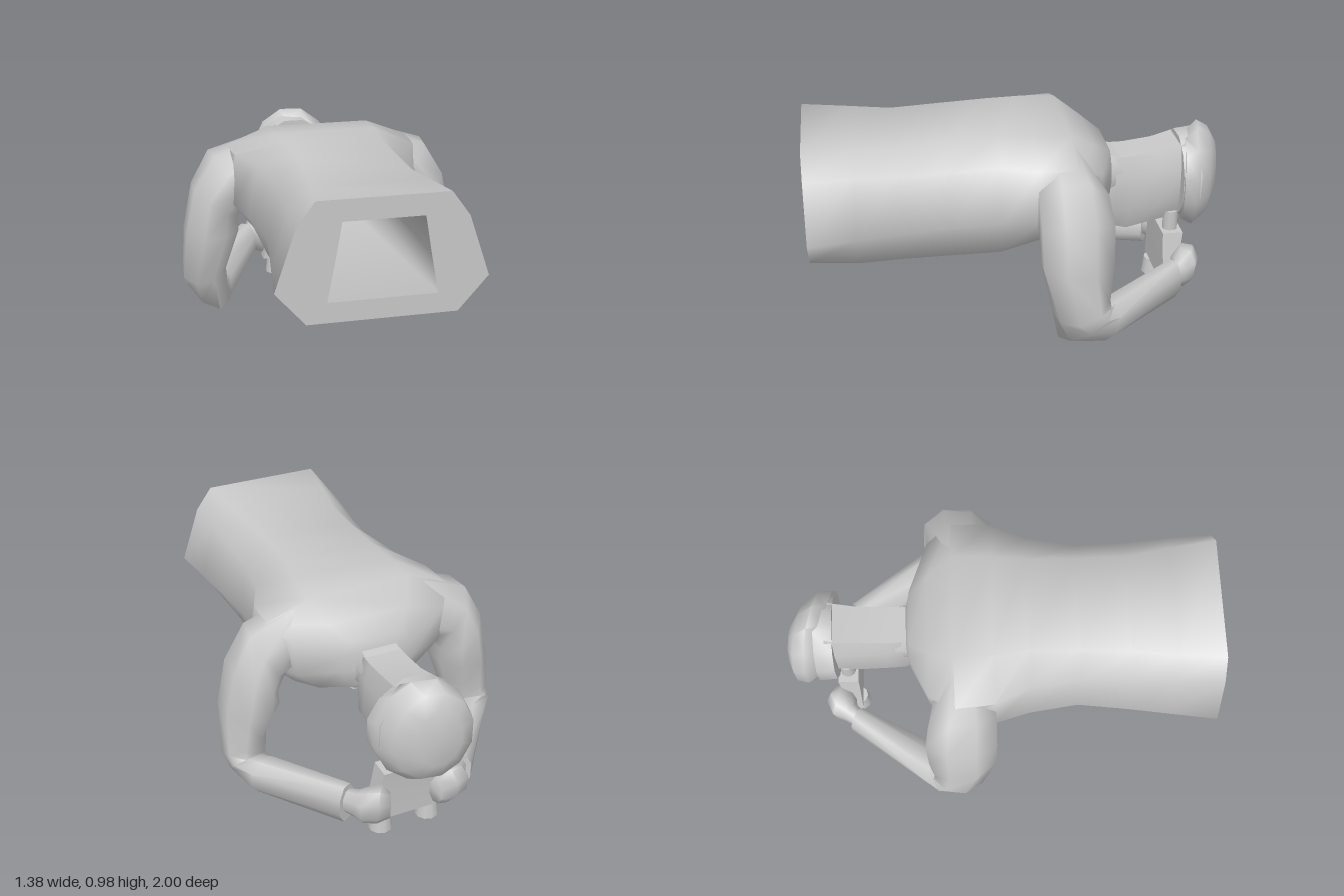
import * as THREE from 'three';
import { toCreasedNormals } from 'three/addons/utils/BufferGeometryUtils.js';

const grey = new THREE.MeshStandardMaterial({ color: 0xc8c8c8 });
grey.name = 'grey clay';

// Skin between equal-sized rings of [x, y, z]; faces outward, or inward if asked
function loft(name, rings, { caps = [true, true], inward = false, crease = 0.8 } = {}) {
  const n = rings[0].length, pos = rings.flat(2), idx = [];
  rings.slice(1).forEach((_, r) => {
    for (let i = 0; i < n; i++) {
      const a = r * n + i, b = r * n + (i + 1) % n;
      idx.push(a, b, a + n, b, b + n, a + n);
    }
  });
  [0, rings.length - 1].forEach((r, k) => {
    if (!caps[k]) return;
    const c = pos.length / 3;
    for (let d = 0; d < 3; d++) pos.push(rings[r].reduce((s, p) => s + p[d], 0) / n);
    for (let i = 0; i < n; i++) {
      const a = r * n + i, b = r * n + (i + 1) % n;
      idx.push(c, ...(k ? [a, b] : [b, a]));
    }
  });
  // Signed volume decides the winding
  const at = (i) => new THREE.Vector3().fromArray(pos, i * 3);
  const o = at(0);
  let volume = 0;
  for (let i = 0; i < idx.length; i += 3) {
    const [a, b, c] = [0, 1, 2].map((k) => at(idx[i + k]).sub(o));
    volume += a.dot(b.cross(c));
  }
  if ((volume < 0) !== inward) idx.reverse();
  const g = new THREE.BufferGeometry();
  g.setAttribute('position', new THREE.Float32BufferAttribute(pos, 3));
  g.setIndex(idx);
  const mesh = new THREE.Mesh(toCreasedNormals(g, crease), grey);
  mesh.name = name;
  return mesh;
}

// Elliptical ring from a centre and two half axes
function ellipse([c, u, v], n = 8) {
  return Array.from({ length: n }, (_, i) => {
    const t = ((i + 0.5) / n) * Math.PI * 2;
    return c.map((q, d) => q + (u[d] * Math.cos(t) + v[d] * Math.sin(t)) * 1.05);
  });
}

// Symmetric ring at depth z from its right half, listed top to bottom
function mirrored(z, half) {
  const full = [...half, ...half.slice().reverse().map(([x, y]) => [-x, y])];
  return full.map(([x, y]) => [x, y, z]);
}

const flip = (rings) => rings.map((r) => r.map(([x, y, z]) => [-x, y, z]));

export function createModel() {
  const model = new THREE.Group();
  model.name = 'proneObserver';

  // Torso from the cut waist to the collar, which turns in to meet the neck
  const waist = [[0.285, 0.98], [0.365, 0.87], [0.457, 0.6], [0.325, 0.45], [0.12, 0.45]];
  const torso = [
    mirrored(1, waist),
    mirrored(0.78, [[0.26, 0.967], [0.355, 0.87], [0.425, 0.6], [0.31, 0.42], [0.14, 0.367]]),
    mirrored(0.58, [[0.23, 0.957], [0.34, 0.86], [0.395, 0.6], [0.3, 0.42], [0.16, 0.362]]),
    mirrored(0.35, [[0.22, 0.972], [0.335, 0.86], [0.367, 0.6], [0.3, 0.42], [0.17, 0.358]]),
    mirrored(0.12, [[0.22, 0.982], [0.37, 0.885], [0.405, 0.62], [0.32, 0.43], [0.18, 0.352]]),
    mirrored(-0.04, [[0.24, 0.977], [0.44, 0.885], [0.455, 0.64], [0.33, 0.48], [0.18, 0.43]]),
    mirrored(-0.22, [[0.25, 0.967], [0.46, 0.885], [0.45, 0.66], [0.32, 0.54], [0.18, 0.5]]),
    mirrored(-0.34, [[0.19, 0.885], [0.38, 0.83], [0.36, 0.66], [0.25, 0.56], [0.14, 0.54]]),
    mirrored(-0.43, [[0.12, 0.825], [0.17, 0.76], [0.18, 0.68], [0.14, 0.59], [0.09, 0.57]]),
    mirrored(-0.445, [[0.08, 0.775], [0.11, 0.73], [0.112, 0.68], [0.1, 0.6], [0.07, 0.58]]),
  ];
  model.add(loft('torso', torso, { caps: [false, false], crease: 1.15 }));

  // Flat waist face with its opening, and the tunnel behind it
  const opening = [[0.175, 0.885], [0.205, 0.71], [0.237, 0.54]];
  const outline = (half) => mirrored(0, half).map(([x, y]) => new THREE.Vector2(x, y));
  const face = new THREE.Shape(outline(waist));
  face.holes.push(new THREE.Path(outline(opening)));
  const waistFace = new THREE.Mesh(new THREE.ShapeGeometry(face), grey);
  waistFace.position.z = 1;
  waistFace.name = 'waistFace';
  model.add(waistFace);
  model.add(loft('hollow', [
    mirrored(1, opening),
    mirrored(-0.36, [[0.12, 0.83], [0.19, 0.69], [0.12, 0.55]]),
    mirrored(-0.43, [[0.12, 0.825], [0.17, 0.7], [0.12, 0.57]]),
  ], { caps: [false, false], inward: true, crease: 3 }));

  // Neck and downward-facing head
  model.add(loft('neck', [
    mirrored(-0.4, [[0.085, 0.785], [0.115, 0.72], [0.115, 0.63], [0.08, 0.575]]),
    mirrored(-0.5, [[0.085, 0.765], [0.11, 0.7], [0.11, 0.63], [0.08, 0.58]]),
  ]));
  model.add(loft('head', [
    mirrored(-0.42, [[0.07, 0.59], [0.09, 0.55], [0.085, 0.46], [0.05, 0.41]]),
    mirrored(-0.47, [[0.09, 0.768], [0.113, 0.68], [0.11, 0.48], [0.06, 0.385]]),
    mirrored(-0.54, [[0.09, 0.768], [0.113, 0.68], [0.12, 0.5], [0.07, 0.372]]),
    mirrored(-0.68, [[0.09, 0.785], [0.12, 0.69], [0.13, 0.52], [0.08, 0.41]]),
    mirrored(-0.82, [[0.1, 0.82], [0.13, 0.7], [0.13, 0.55], [0.08, 0.44]]),
  ], { crease: 1 }));

  // Soft cap, drooping to one side
  model.add(loft('capBand', [
    ellipse([[0, 0.63, -0.785], [0.19, 0, 0], [0, 0.205, 0]], 12),
    ellipse([[0, 0.63, -0.87], [0.195, 0, 0], [0, 0.215, 0]], 12),
  ]));
  model.add(loft('capCrown', [
    ellipse([[0.03, 0.62, -0.82], [0.185, 0, 0.035], [0, 0.21, 0]], 12),
    ellipse([[0.005, 0.62, -0.885], [0.203, 0, 0.04], [0, 0.255, 0]], 12),
    ellipse([[-0.015, 0.62, -0.95], [0.172, 0, 0.028], [0, 0.215, 0]], 12),
    ellipse([[-0.03, 0.63, -0.99], [0.095, 0, 0.012], [0, 0.14, 0]], 12),
  ], { crease: 1.3 }));

  // Bent arms: shoulder, elbow, cuff
  const arm = [
    [[0.28, 0.79, -0.18], [0.03, 0.15, 0], [0, 0, 0.12]],
    [[0.455, 0.735, -0.19], [0.08, 0.127, 0], [-0.02, 0, 0.16]],
    [[0.525, 0.62, -0.2], [0.105, 0.075, 0], [0, 0, 0.17]],
    [[0.545, 0.47, -0.2], [0.132, -0.005, 0], [0, 0, 0.165]],
    [[0.582, 0.27, -0.215], [0.105, -0.03, -0.03], [0.01, -0.05, 0.12]],
    [[0.572, 0.165, -0.235], [0.1, 0.03, -0.055], [-0.01, -0.09, 0.095]],
    [[0.525, 0.142, -0.34], [0.09, 0.02, -0.05], [0, -0.105, 0.02]],
    [[0.285, 0.19, -0.73], [0.05, 0, -0.03], [0, -0.1, 0]],
  ].map((r) => ellipse(r));

  // Fists with wrists
  const hand = [
    [[0.3, 0.2, -0.7], [0.03, 0, -0.02], [0, -0.055, 0]],
    [[0.25, 0.2, -0.765], [0.035, 0, -0.03], [0, -0.07, 0]],
    [[0.215, 0.205, -0.795], [0.055, 0, -0.05], [0, -0.1, 0.015]],
    [[0.165, 0.205, -0.815], [0.035, 0, -0.06], [0, -0.105, 0.015]],
    [[0.115, 0.19, -0.825], [0.015, 0, -0.035], [0, -0.065, 0]],
  ].map((r) => ellipse(r));

  for (const side of ['left', 'right']) {
    const put = side === 'left' ? (r) => r : flip;
    model.add(loft(side + 'Arm', put(arm), { crease: 1.35 }));
    model.add(loft(side + 'Hand', put(hand), { crease: 1.2 }));
  }

  // Binoculars aimed downward
  const glasses = new THREE.Group();
  glasses.name = 'binoculars';
  const slab = (y, w, z0, z1) => [[-w, y, z0], [w, y, z0], [w, y, z1], [-w, y, z1]];
  glasses.add(loft('binocularBody', [
    slab(0.08, 0.19, -0.715, -0.785), slab(0.29, 0.152, -0.71, -0.8), slab(0.36, 0.14, -0.71, -0.81),
  ]));
  for (const s of [-1, 1]) {
    const barrel = new THREE.Mesh(new THREE.CylinderGeometry(0.046, 0.056, 0.085, 10), grey);
    barrel.position.set(s * 0.12, 0.0425, -0.738);
    barrel.name = 'barrel';
    const eyepiece = new THREE.Mesh(new THREE.CylinderGeometry(0.038, 0.038, 0.12, 10), grey);
    eyepiece.position.set(s * 0.075, 0.4, -0.76);
    eyepiece.name = 'eyepiece';
    glasses.add(barrel, eyepiece);
  }
  model.add(glasses);
  return model;
}
